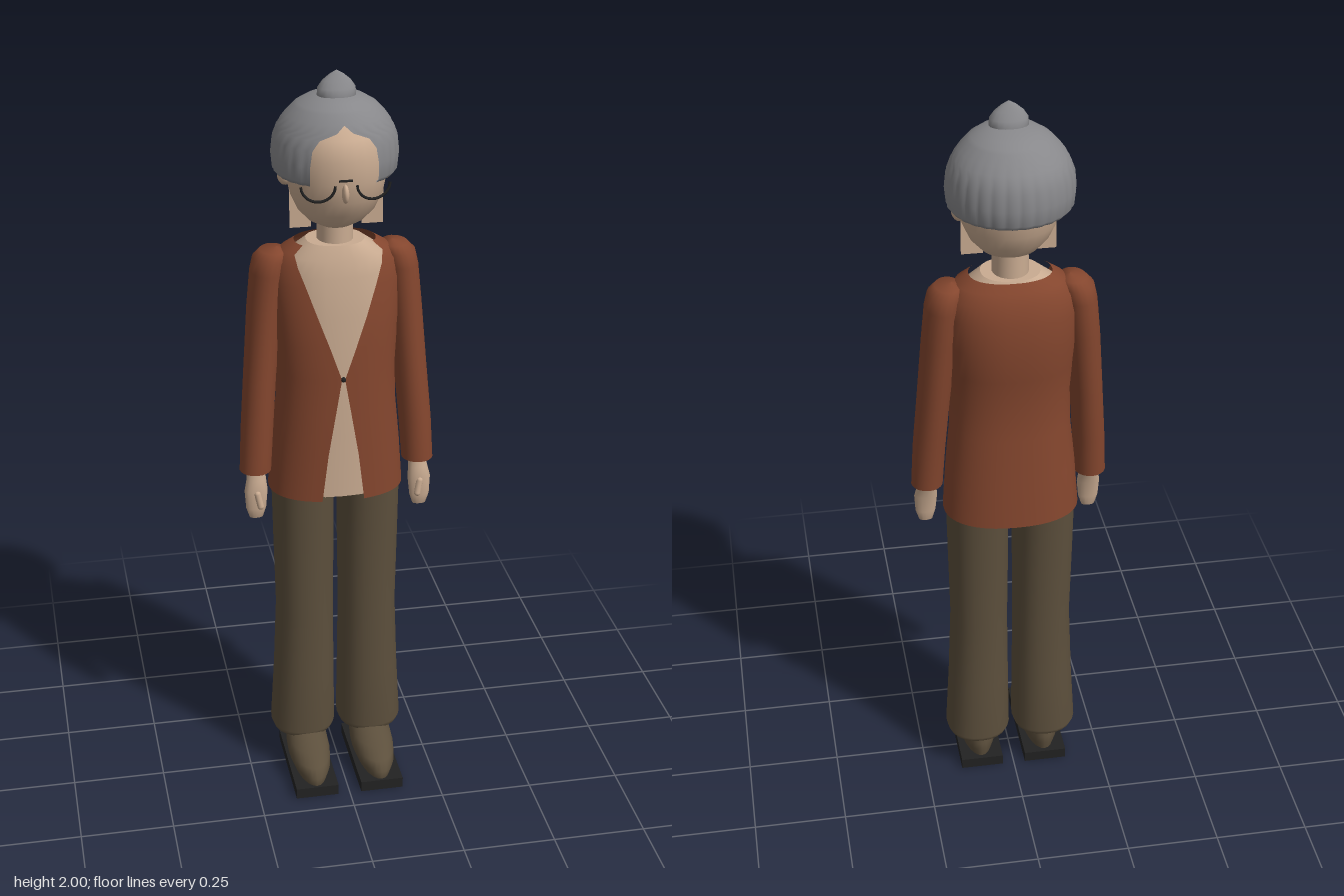
import * as THREE from 'three';

const mat = (name, color, double) => {
  const m = new THREE.MeshStandardMaterial({ color });
  m.name = name;
  if (double) m.side = THREE.DoubleSide;
  return m;
};

// Skin over horizontal rings [y, cx, cz, rx, rz, gap], bottom to top.
// gap is the half width of an opening at the front; a repeated ring keeps a sharp edge.
function loft(rings, { seg = 28, power = 1, flute = () => 1, open = false, side = 1 } = {}) {
  const pos = [], idx = [];
  const cols = open ? seg + 1 : seg;
  const bend = v => Math.sign(v) * Math.abs(v) ** power;
  for (const [y, cx, cz, rx, rz, gap = 0] of rings) {
    const a = gap ? Math.asin(Math.min(1, gap / rx) ** (1 / power)) : 0;
    for (let j = 0; j < cols; j++) {
      const t = a + (2 * Math.PI - 2 * a) * j / seg, f = flute(t, y);
      pos.push(cx * side + rx * f * bend(Math.sin(t)), y, cz + rz * f * bend(Math.cos(t)));
    }
  }
  for (let i = 0; i < rings.length - 1; i++) {
    for (let j = 0; j < seg; j++) {
      const k = (j + 1) % cols;
      const a = i * cols + j, b = i * cols + k, c = b + cols, d = a + cols;
      idx.push(a, b, c, a, c, d);
    }
  }
  const g = new THREE.BufferGeometry();
  g.setAttribute('position', new THREE.Float32BufferAttribute(pos, 3));
  g.setIndex(idx);
  g.computeVertexNormals();
  return g;
}

// Adds flat caps with sharp edges to a list of rings
function capped(rings, bottom = true, top = true) {
  const out = [...rings], first = rings[0], last = rings[rings.length - 1];
  const centre = r => [r[0], r[1], r[2], 0, 0];
  if (bottom) out.unshift(centre(first), first);
  if (top) out.push(last, centre(last));
  return out;
}

export function createModel() {
  const model = new THREE.Group();
  model.name = 'woman';
  const skin = mat('skin', 0xc9ab91, true);
  const rust = mat('cardigan rust', 0x84462e, true);
  const brown = mat('trouser brown', 0x5c4f3c);
  const grey = mat('hair grey', 0x88888b, true);
  const black = mat('black', 0x222222);
  const add = (name, geometry, material, x = 0, y = 0, z = 0) => {
    const m = new THREE.Mesh(geometry, material);
    m.name = name;
    m.position.set(x, y, z);
    model.add(m);
    return m;
  };

  // Body under the cardigan
  add('torso', loft(capped([
    [0.875, 0, -0.035, 0.168, 0.115], [1.05, 0, -0.034, 0.155, 0.112],
    [1.2, 0, -0.028, 0.143, 0.104], [1.38, 0, -0.04, 0.153, 0.11],
    [1.48, 0, -0.042, 0.15, 0.098], [1.525, 0, -0.036, 0.125, 0.083],
    [1.56, 0, -0.034, 0.075, 0.066]]), { power: 0.88 }), skin);
  add('neck', loft([[1.52, 0, -0.034, 0.047, 0.052], [1.66, 0, -0.034, 0.045, 0.05]]), skin);

  // Cardigan, open in a V above and below its single button
  add('cardigan', loft([
    [0.867, 0, -0.037, 0.18, 0.128, 0.056], [1.0, 0, -0.033, 0.17, 0.124, 0.04],
    [1.12, 0, -0.028, 0.158, 0.118, 0.02], [1.215, 0, -0.027, 0.155, 0.115, 0.004],
    [1.3, 0, -0.032, 0.16, 0.12, 0.033], [1.38, 0, -0.04, 0.166, 0.121, 0.062],
    [1.46, 0, -0.043, 0.168, 0.112, 0.09], [1.51, 0, -0.042, 0.16, 0.1, 0.108],
    [1.538, 0, -0.038, 0.138, 0.087, 0.113], [1.558, 0, -0.036, 0.105, 0.072, 0.09]],
    { seg: 40, power: 0.88, open: true }), rust);
  add('button', new THREE.SphereGeometry(0.007, 10, 8), black, 0, 1.215, 0.086);

  for (const side of [1, -1]) {
    const label = side > 0 ? 'left' : 'right';

    // Sleeve, hand and thumb
    add(label + 'Sleeve', loft(capped([
      [0.933, 0.219, -0.01, 0.042, 0.045], [1.05, 0.212, -0.016, 0.043, 0.05],
      [1.2, 0.2, -0.03, 0.043, 0.055], [1.38, 0.184, -0.043, 0.045, 0.061],
      [1.48, 0.173, -0.045, 0.046, 0.064], [1.515, 0.166, -0.045, 0.045, 0.06],
      [1.535, 0.158, -0.044, 0.034, 0.045], [1.542, 0.15, -0.043, 0, 0]], true, false),
      { seg: 20, side }), rust);
    add(label + 'Hand', loft([
      [0.797, 0.222, 0.012, 0, 0], [0.802, 0.222, 0.012, 0.018, 0.01],
      [0.83, 0.222, 0.013, 0.027, 0.015], [0.88, 0.221, 0.01, 0.031, 0.02],
      [0.91, 0.219, 0.002, 0.026, 0.022], [0.95, 0.218, -0.008, 0.022, 0.024]],
      { seg: 16, side }), skin);
    const thumb = add(label + 'Thumb', new THREE.CapsuleGeometry(0.009, 0.035, 4, 10), skin,
      side * 0.216, 0.858, 0.03);
    thumb.rotation.set(-0.15, 0, side * -0.2);

    // Trouser leg with a rounded hem
    add(label + 'Leg', loft(capped([
      [0.108, 0.094, -0.035, 0.083, 0.085], [0.125, 0.094, -0.035, 0.089, 0.095],
      [0.3, 0.09, -0.032, 0.083, 0.089], [0.5, 0.087, -0.03, 0.078, 0.086],
      [0.7, 0.088, -0.032, 0.081, 0.092], [0.885, 0.089, -0.033, 0.083, 0.098]]),
      { seg: 24, side, power: 0.92 }), brown);

    // Shoe and flat sole
    add(label + 'Shoe', loft([
      [0.028, 0.091, 0.045, 0.045, 0.138], [0.055, 0.091, 0.045, 0.056, 0.144],
      [0.075, 0.091, 0.034, 0.058, 0.132], [0.095, 0.091, 0.014, 0.055, 0.108],
      [0.115, 0.091, -0.012, 0.045, 0.078], [0.132, 0.091, -0.02, 0.024, 0.045],
      [0.137, 0.091, -0.02, 0, 0]], { side }), brown);
    add(label + 'Sole', new THREE.BoxGeometry(0.118, 0.03, 0.295), black,
      side * 0.091, 0.015, 0.0425);

    // Ear and the flat panel beside the jaw
    const ear = add(label + 'Ear', new THREE.SphereGeometry(0.025, 16, 12), skin,
      side * 0.126, 1.732, -0.037);
    ear.scale.set(0.8, 1, 1);
    add(label + 'JawPanel', new THREE.PlaneGeometry(0.055, 0.12), skin,
      side * 0.0925, 1.66, -0.012);

    // Half rim of the spectacles
    const points = [];
    for (let i = 0; i <= 10; i++) {
      const a = Math.PI * (1 + i / 10), x = 0.069 + 0.042 * Math.cos(a);
      points.push(new THREE.Vector3(side * x, 1.748 + 0.04 * Math.sin(a), 0.122 - 0.12 * x));
    }
    add(label + 'Rim', new THREE.TubeGeometry(new THREE.CatmullRomCurve3(points), 24, 0.0035, 6),
      black);
  }
  const bridge = add('bridge', new THREE.CylinderGeometry(0.003, 0.003, 0.034, 6), black,
    0, 1.757, 0.113);
  bridge.rotation.z = Math.PI / 2;

  // Head and nose
  add('head', loft([
    [1.597, 0, -0.02, 0, 0], [1.601, 0, -0.02, 0.036, 0.034],
    [1.62, 0, -0.02, 0.072, 0.067], [1.65, 0, -0.019, 0.1, 0.091],
    [1.69, 0, -0.018, 0.118, 0.112], [1.74, 0, -0.017, 0.127, 0.123],
    [1.8, 0, -0.018, 0.126, 0.126], [1.85, 0, -0.022, 0.11, 0.116],
    [1.89, 0, -0.025, 0.07, 0.07], [1.905, 0, -0.025, 0, 0]]), skin);
  const nose = add('nose', new THREE.SphereGeometry(1, 12, 10), skin, 0, 1.722, 0.108);
  nose.scale.set(0.009, 0.024, 0.018);

  // Fluted bob parted around the face, fading to a smooth crown
  const flute = (t, y) => {
    const fade = Math.min(1, Math.max(0, (1.9 - y) / 0.08));
    return 1 + 0.018 * fade * (Math.abs(Math.sin(t * 14)) - 0.6);
  };
  add('hair', loft([
    [1.75, 0, -0.033, 0.122, 0.118, 0.082], [1.738, 0, -0.035, 0.146, 0.141, 0.083],
    [1.75, 0, -0.035, 0.156, 0.151, 0.085], [1.79, 0, -0.035, 0.16, 0.155, 0.085],
    [1.83, 0, -0.035, 0.156, 0.15, 0.079], [1.855, 0, -0.034, 0.147, 0.143, 0.062],
    [1.872, 0, -0.032, 0.138, 0.134, 0.02], [1.89, 0, -0.03, 0.125, 0.122],
    [1.912, 0, -0.028, 0.104, 0.104], [1.918, 0, -0.028, 0.094, 0.096],
    [1.93, 0, -0.025, 0.075, 0.078], [1.94, 0, -0.02, 0.045, 0.047],
    [1.945, 0, -0.015, 0, 0]], { seg: 168, flute, open: true }), grey);

  // Pointed topknot
  add('bun', loft([
    [1.92, 0, -0.012, 0.042, 0.036], [1.94, 0, -0.012, 0.049, 0.04],
    [1.957, 0, -0.012, 0.048, 0.031], [1.975, 0, -0.012, 0.036, 0.018],
    [1.99, 0, -0.012, 0.018, 0.008], [2.0, 0, -0.012, 0, 0]], { seg: 20 }), grey);

  return model;
}
